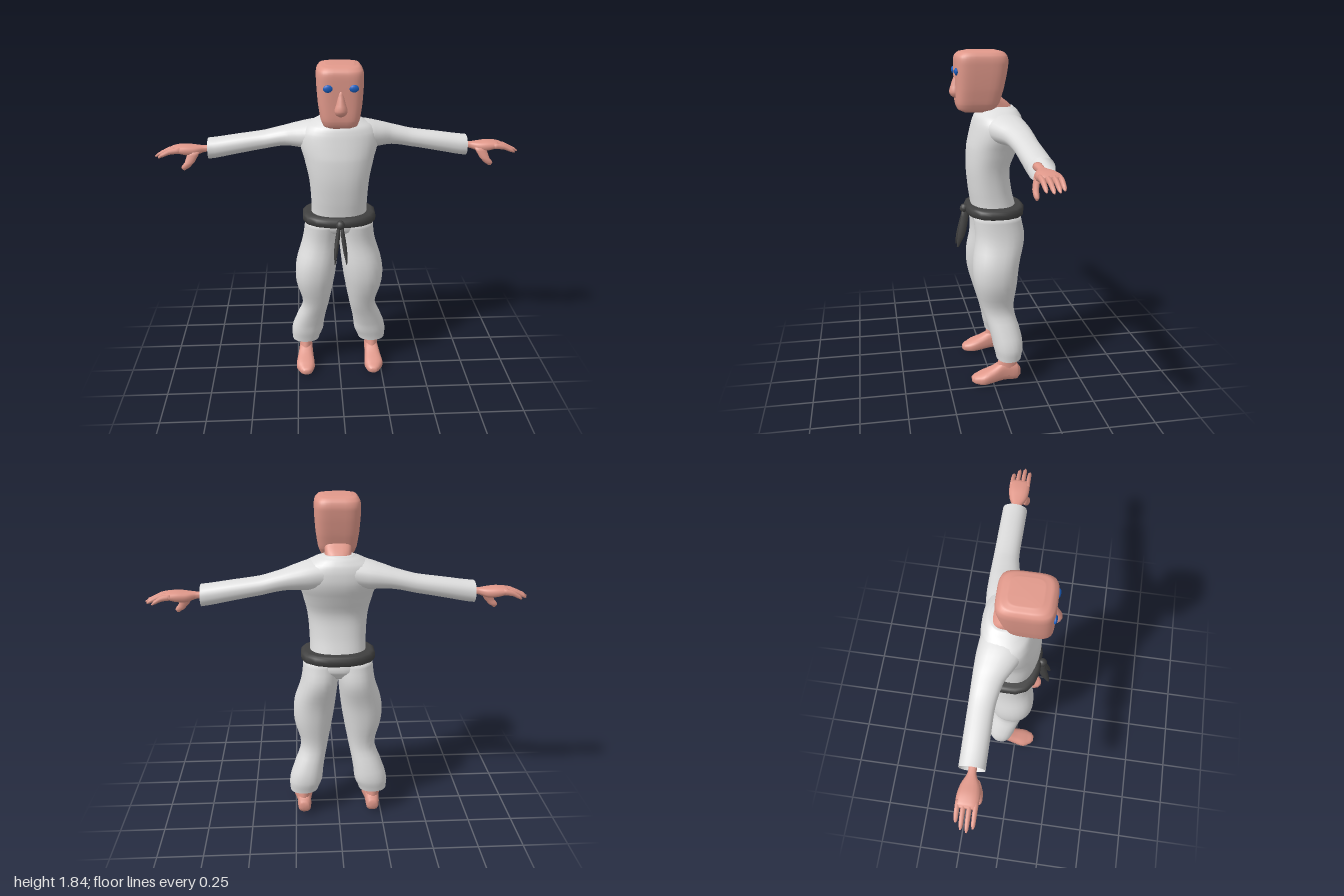
import * as THREE from 'three';

const mat = (name, color, side = THREE.FrontSide) => {
  const m = new THREE.MeshStandardMaterial({ color, side });
  m.name = name;
  return m;
};

// Offsets of (u, v) from x, y, z for each lofting axis, chosen so that u x v = axis
const AXES = { x: [0, 1, 2], y: [1, 2, 0], z: [2, 0, 1] };

// Smooth skin through sections [t, u0, u1, v0, v1], listed in ascending t along the axis
function loft(axis, sections, { n = 2, sides = 24, steps = 4, capStart = true, capEnd = true } = {}) {
  const [ia, iu, iv] = AXES[axis];
  const pos = [], idx = [];
  const put = (t, u, v) => {
    const p = [0, 0, 0];
    p[ia] = t; p[iu] = u; p[iv] = v;
    pos.push(...p);
  };
  const at = (i) => sections[Math.max(0, Math.min(sections.length - 1, i))];
  const rows = [];
  for (let i = 0; i < sections.length - 1; i++) {
    for (let s = 0; s < steps; s++) {
      const f = s / steps;
      rows.push(at(i).map((b, k) => {
        const c = at(i + 1)[k];
        if (k === 0) return b + (c - b) * f;
        const m0 = (c - at(i - 1)[k]) / 2, m1 = (at(i + 2)[k] - b) / 2;
        const f2 = f * f, f3 = f2 * f;
        return (2 * f3 - 3 * f2 + 1) * b + (f3 - 2 * f2 + f) * m0 + (3 * f2 - 2 * f3) * c + (f3 - f2) * m1;
      }));
    }
  }
  rows.push(at(sections.length - 1));
  const pw = (x) => Math.sign(x) * Math.pow(Math.abs(x), 2 / n);
  for (const [t, u0, u1, v0, v1] of rows) {
    for (let j = 0; j < sides; j++) {
      const a = ((j + 0.5) / sides) * Math.PI * 2;
      put(t, (u0 + u1) / 2 + ((u1 - u0) / 2) * pw(Math.cos(a)), (v0 + v1) / 2 + ((v1 - v0) / 2) * pw(Math.sin(a)));
    }
  }
  for (let i = 0; i < rows.length - 1; i++) {
    for (let j = 0; j < sides; j++) {
      const k = (j + 1) % sides, a = i * sides, b = a + sides;
      idx.push(a + j, a + k, b + j, a + k, b + k, b + j);
    }
  }
  const cap = (row, base, flip) => {
    const c = pos.length / 3;
    put(row[0], (row[1] + row[2]) / 2, (row[3] + row[4]) / 2);
    for (let j = 0; j < sides; j++) {
      const k = (j + 1) % sides;
      if (flip) idx.push(c, base + k, base + j);
      else idx.push(c, base + j, base + k);
    }
  };
  if (capStart) cap(rows[0], 0, true);
  if (capEnd) cap(rows[rows.length - 1], (rows.length - 1) * sides, false);
  const g = new THREE.BufferGeometry();
  g.setAttribute('position', new THREE.Float32BufferAttribute(pos, 3));
  g.setIndex(idx);
  g.computeVertexNormals();
  return g;
}

// Copy of a geometry on the other side of x = 0
function mirrored(g) {
  const m = g.clone().scale(-1, 1, 1);
  const ix = m.index.array;
  for (let i = 0; i < ix.length; i += 3) [ix[i], ix[i + 1]] = [ix[i + 1], ix[i]];
  m.computeVertexNormals();
  return m;
}

export function createModel() {
  const root = new THREE.Group();
  root.name = 'figure';
  const skin = mat('skin', 0xe0988a);
  const cloth = mat('white cloth', 0xdedede, THREE.DoubleSide);
  const beltCloth = mat('belt cloth', 0x404040);
  const blue = mat('eye blue', 0x1a5fc0);

  const add = (name, g, m) => {
    const mesh = new THREE.Mesh(g, m);
    mesh.name = name;
    root.add(mesh);
    return mesh;
  };
  const addPair = (name, g, m) => {
    add('left' + name, g, m);
    add('right' + name, mirrored(g), m);
  };

  // Jacket body down to the seat: [y, back, front, -halfWidth, halfWidth]
  add('jacket', loft('y', [
    [0.87, -0.14, 0.02, 0.07], [0.92, -0.175, 0.08, 0.17], [1.0, -0.155, 0.09, 0.155],
    [1.1, -0.13, 0.105, 0.155], [1.22, -0.12, 0.115, 0.165], [1.33, -0.16, 0.11, 0.19],
    [1.4, -0.185, 0.095, 0.21], [1.46, -0.187, 0.08, 0.21], [1.5, -0.178, 0.065, 0.18],
    [1.53, -0.16, 0.035, 0.12], [1.548, -0.14, 0.0, 0.075],
  ].map(([y, b, f, w]) => [y, b, f, -w, w]), { n: 2.3, sides: 32 }), cloth);

  // Sleeves, open at the cuff
  addPair('Sleeve', loft('x', [
    [0.06, 1.37, 1.53, -0.18, 0.05], [0.15, 1.365, 1.518, -0.188, 0.04], [0.21, 1.37, 1.502, -0.19, 0.01],
    [0.29, 1.372, 1.478, -0.19, -0.035], [0.4, 1.352, 1.45, -0.19, -0.058],
    [0.55, 1.325, 1.43, -0.19, -0.06], [0.71, 1.297, 1.41, -0.19, -0.06],
  ], { n: 2.2, capEnd: false }), cloth);

  // Trouser legs, open at the hem: [y, back, front, inner, outer]
  addPair('TrouserLeg', loft('y', [
    [0.155, -0.158, -0.02, 0.12, 0.28], [0.22, -0.17, -0.005, 0.095, 0.282], [0.3, -0.16, 0.012, 0.085, 0.258],
    [0.43, -0.128, 0.05, 0.06, 0.213], [0.58, -0.143, 0.092, 0.032, 0.248], [0.7, -0.158, 0.1, 0.014, 0.246],
    [0.84, -0.19, 0.082, 0.0, 0.205], [0.97, -0.17, 0.09, -0.01, 0.19],
  ], { n: 2.2, capStart: false }), cloth);

  // Belt with knot and two hanging tails
  add('belt', loft('y', [
    [0.955, -0.18, 0.1, -0.18, 0.18], [0.966, -0.198, 0.122, -0.203, 0.203],
    [1.004, -0.198, 0.122, -0.203, 0.203], [1.016, -0.18, 0.1, -0.18, 0.18],
  ], { n: 2.5, sides: 16, steps: 2 }), beltCloth);
  const knot = add('beltKnot', new THREE.SphereGeometry(1, 12, 8), beltCloth);
  knot.scale.set(0.024, 0.026, 0.026);
  knot.position.set(0, 0.985, 0.127);
  addPair('BeltTail', loft('y', [
    [0.77, 0.165, 0.177, 0.029, 0.035], [0.83, 0.13, 0.172, 0.015, 0.037],
    [0.9, 0.112, 0.158, 0.004, 0.03], [0.98, 0.1, 0.14, 0.0, 0.016],
  ], { sides: 8, steps: 2 }), beltCloth);

  // Neck and boxy head
  add('neck', loft('y', [
    [1.5, -0.14, -0.0, -0.072, 0.072], [1.555, -0.122, 0.03, -0.07, 0.07], [1.62, -0.05, 0.06, -0.075, 0.075],
  ], { n: 3 }), skin);
  add('head', loft('y', [
    [1.522, -0.005, 0.13, -0.065, 0.065], [1.535, -0.035, 0.158, -0.088, 0.088], [1.57, -0.06, 0.17, -0.102, 0.102],
    [1.65, -0.083, 0.172, -0.114, 0.114], [1.77, -0.104, 0.174, -0.121, 0.121], [1.81, -0.1, 0.17, -0.117, 0.117],
    [1.832, -0.08, 0.148, -0.1, 0.1], [1.84, -0.045, 0.11, -0.07, 0.07],
  ], { n: 4.2, sides: 40 }), skin);
  add('nose', loft('y', [
    [1.592, 0.15, 0.172, -0.014, 0.014], [1.605, 0.14, 0.193, -0.028, 0.028], [1.625, 0.14, 0.202, -0.033, 0.033],
    [1.66, 0.14, 0.194, -0.024, 0.024], [1.72, 0.15, 0.174, -0.012, 0.012],
  ], { sides: 14 }), skin);
  addPair('Eye', new THREE.SphereGeometry(1, 14, 10).scale(0.024, 0.019, 0.01).translate(0.065, 1.735, 0.172), blue);

  // Hands: palm, four drooping fingers, hanging thumb
  addPair('Palm', loft('x', [
    [0.64, 1.333, 1.373, -0.145, -0.1], [0.73, 1.335, 1.37, -0.142, -0.1], [0.78, 1.32, 1.373, -0.165, -0.075],
    [0.83, 1.322, 1.377, -0.176, -0.066], [0.88, 1.335, 1.372, -0.176, -0.068], [0.895, 1.342, 1.362, -0.165, -0.08],
  ], { n: 2.5, sides: 16 }), skin);
  [[-0.164, 0.96], [-0.136, 0.99], [-0.107, 1.0], [-0.079, 0.98]].forEach(([z, tip], i) => {
    const L = tip - 0.86;
    addPair('Finger' + (i + 1), loft('x', [
      [0.86, 1.338, 1.37, z - 0.013, z + 0.013], [0.86 + L * 0.5, 1.332, 1.361, z - 0.012, z + 0.012],
      [0.86 + L * 0.88, 1.316, 1.337, z - 0.01, z + 0.01], [tip, 1.314, 1.322, z - 0.004, z + 0.004],
    ], { sides: 8, steps: 3 }), skin);
  });
  addPair('Thumb', loft('y', [
    [1.247, -0.077, -0.067, 0.835, 0.85], [1.262, -0.085, -0.06, 0.812, 0.858],
    [1.29, -0.087, -0.059, 0.785, 0.838], [1.345, -0.1, -0.072, 0.755, 0.82],
  ], { sides: 10, steps: 3 }), skin);

  // Bare feet and ankles
  addPair('Ankle', loft('y', [
    [0.05, -0.14, -0.01, 0.16, 0.24], [0.1, -0.14, -0.02, 0.165, 0.238],
    [0.16, -0.134, -0.038, 0.166, 0.235], [0.26, -0.13, -0.04, 0.165, 0.235],
  ], { sides: 16 }), skin);
  addPair('Foot', loft('z', [
    [-0.156, 0.175, 0.225, 0.04, 0.085], [-0.135, 0.162, 0.238, 0.016, 0.115], [-0.06, 0.16, 0.242, 0.016, 0.13],
    [0.0, 0.155, 0.252, 0.008, 0.098], [0.06, 0.15, 0.26, 0.002, 0.073],
    [0.105, 0.165, 0.235, 0.008, 0.054], [0.12, 0.182, 0.218, 0.016, 0.044],
  ], { n: 2.6, sides: 16, steps: 3 }), skin);

  return root;
}
